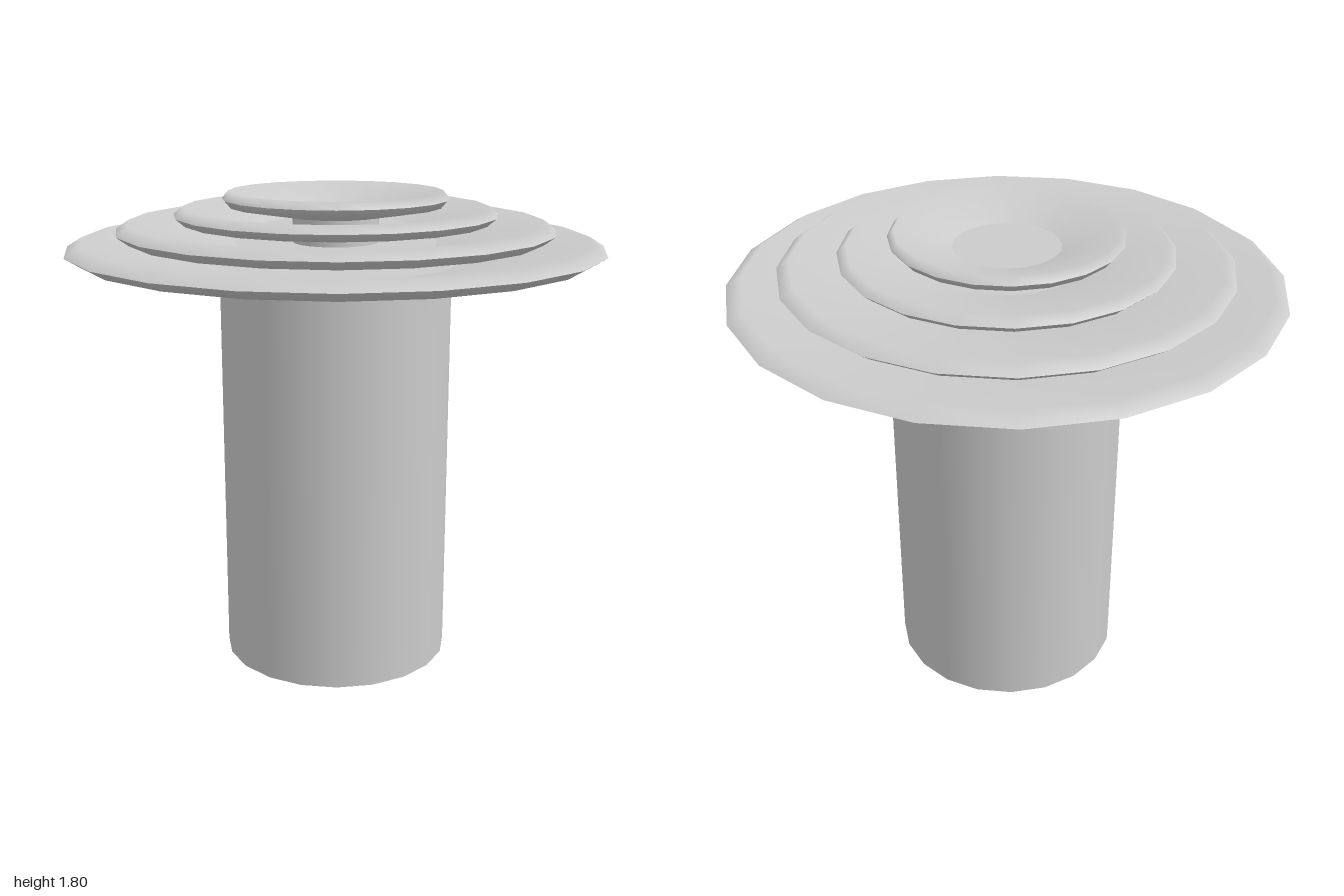
import * as THREE from 'three';

const SIDES = 20;
const material = new THREE.MeshStandardMaterial({ color: 0xcccccc });

// One smooth surface of revolution; separate surfaces keep the edges between them sharp
function turned(name, profile) {
  const points = profile.map(([r, y]) => new THREE.Vector2(r, y));
  const mesh = new THREE.Mesh(new THREE.LatheGeometry(points, SIDES), material);
  mesh.name = name;
  return mesh;
}

// Shallow dished plate: rim radius r, rim height y, half thickness of the rim h
function plate(name, r, y, h) {
  const group = new THREE.Group();
  group.name = name;
  const base = y - 2.35 * h, floor = y - 1.5 * h;
  group.add(
    turned('plateBase', [[0, base], [0.435 * r, base]]),
    turned('plateUnderside', [[0.435 * r, base], [0.945 * r, y - h], [r, y]]),
    turned('plateDish', [[r, y], [0.945 * r, y + h], [0.465 * r, floor]]),
    turned('plateFloor', [[0.465 * r, floor], [0, floor]]),
  );
  return group;
}

function cylinder(name, radius, bottom, top) {
  const mesh = new THREE.Mesh(new THREE.CylinderGeometry(radius, radius, top - bottom, SIDES), material);
  mesh.name = name;
  mesh.position.y = (bottom + top) / 2;
  return mesh;
}

export function createModel() {
  const model = new THREE.Group();
  model.name = 'tieredPedestal';

  // Column, and the slim core that carries the upper plates
  model.add(cylinder('column', 0.435, 0, 1.517), cylinder('core', 0.16, 1.517, 1.72));

  // Stack of plates, widest at the bottom
  const tiers = [[1, 1.595, 0.034], [0.815, 1.66, 0.032], [0.6, 1.715, 0.028], [0.42, 1.773, 0.027]];
  tiers.forEach(([r, y, h], i) => model.add(plate(`plate${i + 1}`, r, y, h)));

  return model;
}
